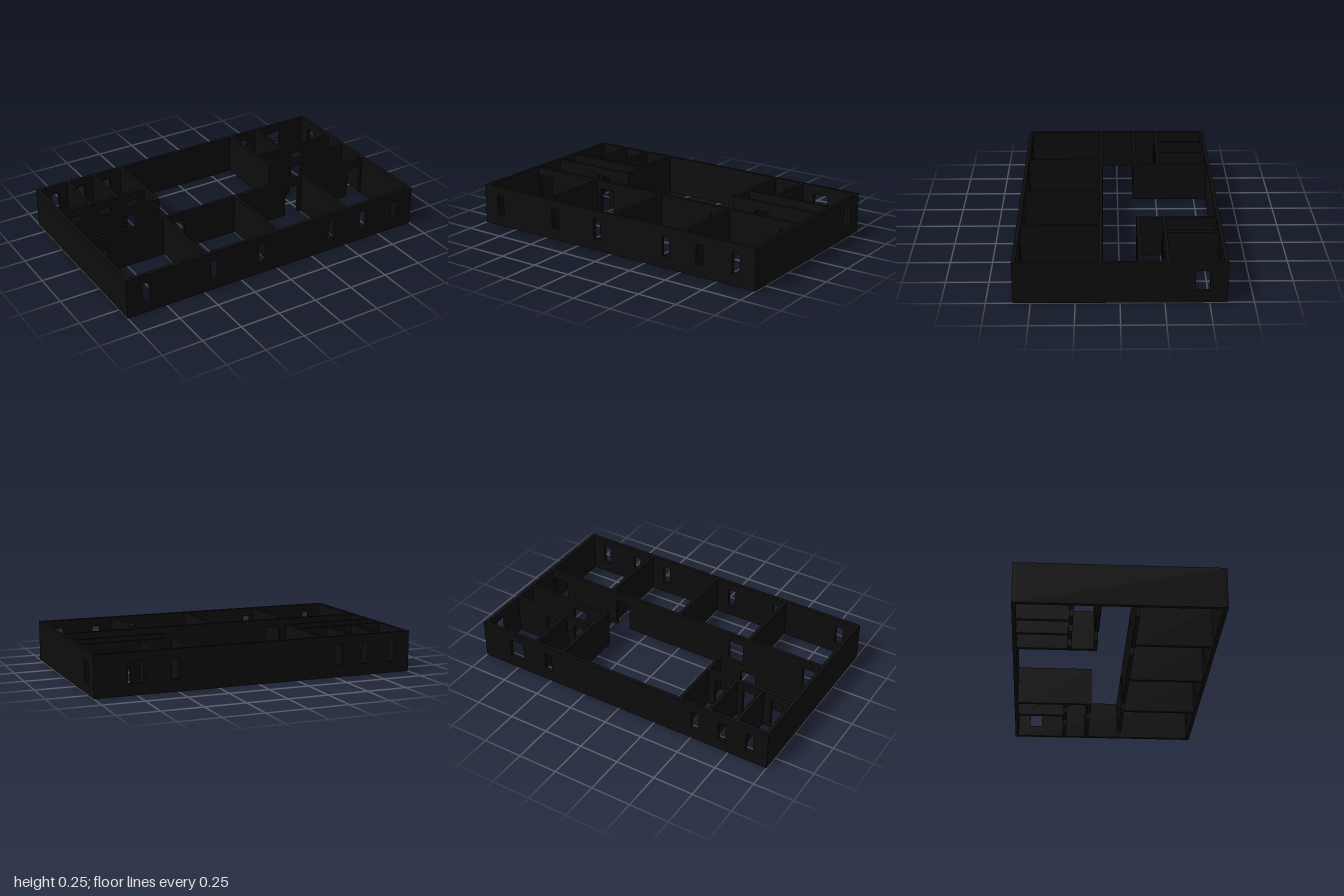
import * as THREE from 'three';

const HEIGHT = 0.25, T = 0.023;      // wall height and thickness
const SILL = 0.07, HEAD = 0.195;     // window bottom, top of doors and windows

// Elevation of a wall from a to b: doors notch the foot, windows are holes.
function elevation(a, b, doors, windows) {
  const s = new THREE.Shape();
  s.moveTo(a, 0);
  for (const [l, r] of doors) {
    s.lineTo(l, 0);
    s.lineTo(l, HEAD);
    s.lineTo(r, HEAD);
    s.lineTo(r, 0);
  }
  s.lineTo(b, 0);
  s.lineTo(b, HEIGHT);
  s.lineTo(a, HEIGHT);
  s.closePath();
  for (const [l, r] of windows) {
    const h = new THREE.Path();
    h.moveTo(l, SILL);
    h.lineTo(l, HEAD);
    h.lineTo(r, HEAD);
    h.lineTo(r, SILL);
    h.closePath();
    s.holes.push(h);
  }
  return s;
}

export function createModel() {
  const model = new THREE.Group();
  model.name = 'floorPlanWalls';
  const charcoal = new THREE.MeshStandardMaterial({ color: 0x0d0d0d });
  charcoal.name = 'charcoal';

  // along: 'x' or 'z' is the run of the wall; at is its lower face on the other axis
  function wall(name, along, at, a, b, { doors = [], windows = [] } = {}) {
    const geo = new THREE.ExtrudeGeometry(elevation(a, b, doors, windows), { depth: T, bevelEnabled: false });
    const mesh = new THREE.Mesh(geo, charcoal);
    mesh.name = name;
    if (along === 'x') {
      mesh.position.z = at;
    } else {
      mesh.rotation.y = -Math.PI / 2;
      mesh.position.x = at + T;
    }
    model.add(mesh);
  }

  // Outer walls
  wall('frontWall', 'x', 0.6 - T, -1, 1, {
    windows: [[-0.9, -0.85], [-0.455, -0.405], [-0.13, -0.08], [0.37, 0.42], [0.605, 0.655], [0.847, 0.897]],
  });
  wall('backWall', 'x', -0.6, -1, 1, {
    windows: [[-0.91, -0.86], [-0.73, -0.68], [-0.55, -0.5], [0.49, 0.54], [0.7, 0.8]],
  });
  wall('rightSideWall', 'z', -1, -0.6 + T, 0.6 - T);
  wall('leftSideWall', 'z', 1 - T, -0.6 + T, 0.6 - T, { windows: [[-0.5, -0.42]] });

  // Corridor wall with one door for each front room
  wall('corridorWall', 'x', 0.096, -1 + T, 1 - T, {
    doors: [[-0.965, -0.865], [-0.455, -0.355], [0.38, 0.48], [0.865, 0.965]],
  });
  for (const x of [-0.5, 0, 0.5]) wall('frontRoomDivider', 'z', x, 0.096 + T, 0.6 - T);

  // Back block of three small rooms behind a lobby
  wall('rightBlockEndWall', 'z', -0.427, -0.6 + T, -0.102);
  wall('rightBlockLobbyWall', 'x', -0.125, -1 + T, -0.427, { doors: [[-0.66, -0.56]] });
  wall('rightBlockRoomWall', 'x', -0.278, -1 + T, -0.427, {
    doors: [[-0.93, -0.85], [-0.74, -0.66], [-0.55, -0.47]],
  });
  for (const x of [-0.801, -0.625]) wall('rightBlockDivider', 'z', x, -0.6 + T, -0.278);

  // Back block of two rooms behind a lobby
  wall('leftBlockEndWall', 'z', 0.4, -0.6 + T, -0.102);
  wall('leftBlockLobbyWall', 'x', -0.125, 0.4 + T, 1 - T, { doors: [[0.56, 0.66]] });
  wall('leftBlockRoomWall', 'x', -0.278, 0.4 + T, 1 - T, { doors: [[0.47, 0.55], [0.68, 0.76]] });
  wall('leftBlockDivider', 'z', 0.598, -0.6 + T, -0.278);

  return model;
}
